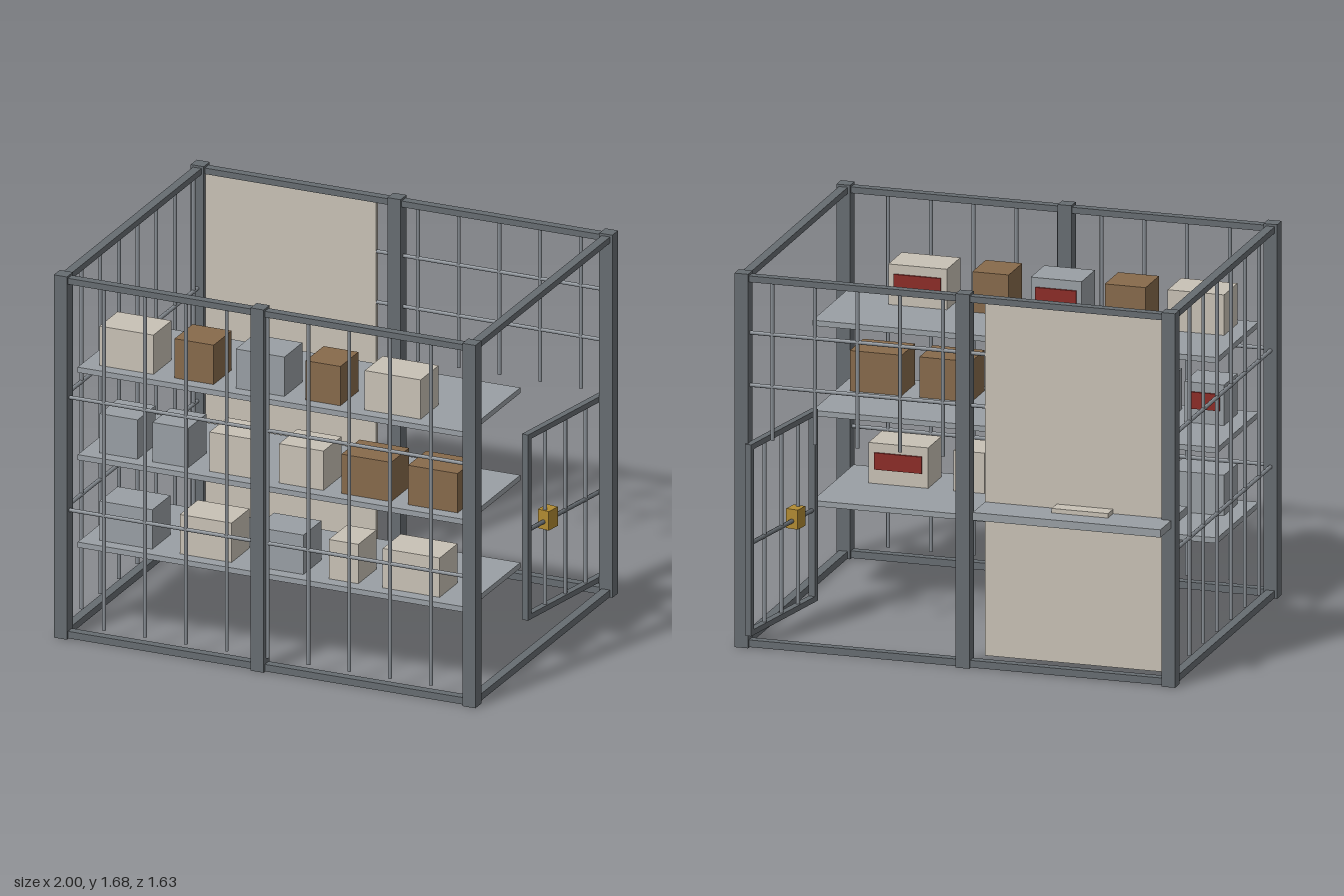
import * as THREE from 'three';

const mat = (name, color) => {
  const m = new THREE.MeshStandardMaterial({ color });
  m.name = name;
  return m;
};

export function createModel() {
  const steel = mat('dark steel', 0x666c71);
  const bar = mat('bar grey', 0x878d93);
  const grey = mat('shelf grey', 0x999fa4);
  const beige = mat('beige', 0xc8c1b5);
  const brown = mat('cardboard brown', 0x876a4b);
  const red = mat('label red', 0x8c2b27);
  const brass = mat('brass', 0xb08a32);

  const root = new THREE.Group();
  root.name = 'storageCage';
  const group = (name, parent = root) => {
    const g = new THREE.Group();
    g.name = name;
    parent.add(g);
    return g;
  };

  // Box given by its min and max on each axis
  const box = (parent, name, m, [x0, x1], [y0, y1], [z0, z1]) => {
    const mesh = new THREE.Mesh(new THREE.BoxGeometry(x1 - x0, y1 - y0, z1 - z0), m);
    mesh.position.set((x0 + x1) / 2, (y0 + y1) / 2, (z0 + z1) / 2);
    mesh.name = name;
    parent.add(mesh);
    return mesh;
  };

  // Thin round rod between two points
  const rod = (parent, name, m, a, b, r = 0.009) => {
    const p = new THREE.Vector3(...a), q = new THREE.Vector3(...b);
    const mesh = new THREE.Mesh(new THREE.CylinderGeometry(r, r, p.distanceTo(q), 8), m);
    mesh.position.copy(p).lerp(q, 0.5);
    mesh.quaternion.setFromUnitVectors(new THREE.Vector3(0, 1, 0), q.sub(p).normalize());
    mesh.name = name;
    parent.add(mesh);
  };

  // Frame: six posts with rails at floor and top
  const X = 0.967, ZF = 0.785, ZB = -0.635;
  const around = (c, h) => [c - h, c + h];
  const frame = group('frame');
  for (const z of [ZF, ZB])
    for (const x of [-X, -0.035, X])
      box(frame, 'post', steel, around(x, 0.031), [0, 1.68], around(z, 0.031));
  for (const y of [[0.003, 0.035], [1.642, 1.67]]) {
    for (const z of [ZF, ZB]) box(frame, 'longRail', steel, [-X, X], y, around(z, 0.02));
    for (const x of [-X, X]) box(frame, 'sideRail', steel, around(x, 0.02), y, [ZB, ZF]);
  }

  // Front and side bars
  const front = group('frontBars');
  for (let i = 1; i <= 9; i++) {
    const x = -X + i * 0.1934;
    rod(front, 'verticalBar', bar, [x, 0.06, ZF], [x, 1.645, ZF]);
  }
  const side = group('sideBars');
  for (let i = 0; i < 7; i++) {
    const z = 0.595 - i * 0.1935;
    rod(side, 'verticalBar', bar, [-X, 0.06, z], [-X, 1.645, z]);
  }
  for (const y of [0.59, 1.112]) {
    rod(front, 'crossBar', bar, [-X, y, ZF], [X, y, ZF]);
    rod(side, 'crossBar', bar, [-X, y, ZB], [-X, y, ZF]);
  }

  // Short grille above the doorway in the back
  const grille = group('doorwayGrille');
  for (let i = 0; i < 5; i++) {
    const x = 0.064 + i * 0.193;
    rod(grille, 'verticalBar', bar, [x, 0.935, ZB], [x, 1.645, ZB]);
  }
  for (const y of [1.175, 1.41])
    rod(grille, 'crossBar', bar, [-0.14, y, ZB], [X, y, ZB]);

  // Back panel with a counter passing through it
  const counter = group('counter');
  box(counter, 'backPanel', beige, [-0.965, -0.13], [0.06, 1.645], around(ZB, 0.01));
  box(counter, 'counterTop', grey, [-0.98, -0.13], [0.715, 0.75], [-0.815, -0.44]);
  box(counter, 'paperStack', beige, [-0.71, -0.455], [0.75, 0.77], [-0.715, -0.58]);

  // Shelves and their boxes: [x min, x max, colour, has label]
  const shelves = [
    [0.43, [
      [-0.84, -0.59, grey], [-0.46, -0.215, beige], [-0.1, 0.125, grey],
      [0.245, 0.385, beige], [0.5, 0.77, beige, true]]],
    [0.835, [
      [-0.84, -0.66, grey, true], [-0.59, -0.42, grey], [-0.32, -0.12, beige, true],
      [0.01, 0.22, beige], [0.305, 0.54, brown], [0.62, 0.855, brown]]],
    [1.24, [
      [-0.84, -0.585, beige], [-0.485, -0.3, brown], [-0.195, 0.035, grey, true],
      [0.135, 0.3, brown], [0.415, 0.68, beige, true]]],
  ];
  for (const [y, items] of shelves) {
    const g = group('shelfWithBoxes');
    box(g, 'shelf', grey, [-0.917, 0.917], [y - 0.025, y], [0.172, 0.745]);
    for (const [x0, x1, m, label] of items) {
      box(g, 'storageBox', m, [x0, x1], [y, y + 0.182], [0.5, 0.687]);
      const inset = (x1 - x0) * 0.1;
      if (label)
        box(g, 'label', red, [x0 + inset, x1 - inset], [y + 0.065, y + 0.14], [0.491, 0.5005]);
    }
  }

  // Door swung open on its hinge at the back corner
  const door = group('door');
  door.position.set(0.932, 0, -0.68);
  door.rotation.y = -1.743;
  const W = 0.615, T = [-0.015, 0.015];
  for (const x of [0, W - 0.028]) box(door, 'doorStile', steel, [x, x + 0.028], [0.06, 0.92], T);
  for (const y of [0.06, 0.895]) box(door, 'doorRail', steel, [0, W], [y, y + 0.025], T);
  for (let i = 1; i < 4; i++)
    rod(door, 'doorBar', bar, [W * i / 4, 0.07, 0], [W * i / 4, 0.91, 0]);
  rod(door, 'doorCrossBar', steel, [0.01, 0.47, 0], [W - 0.01, 0.47, 0], 0.01);
  box(door, 'lock', brass, [0.405, 0.475], [0.435, 0.523], [-0.028, 0.028]);

  return root;
}
